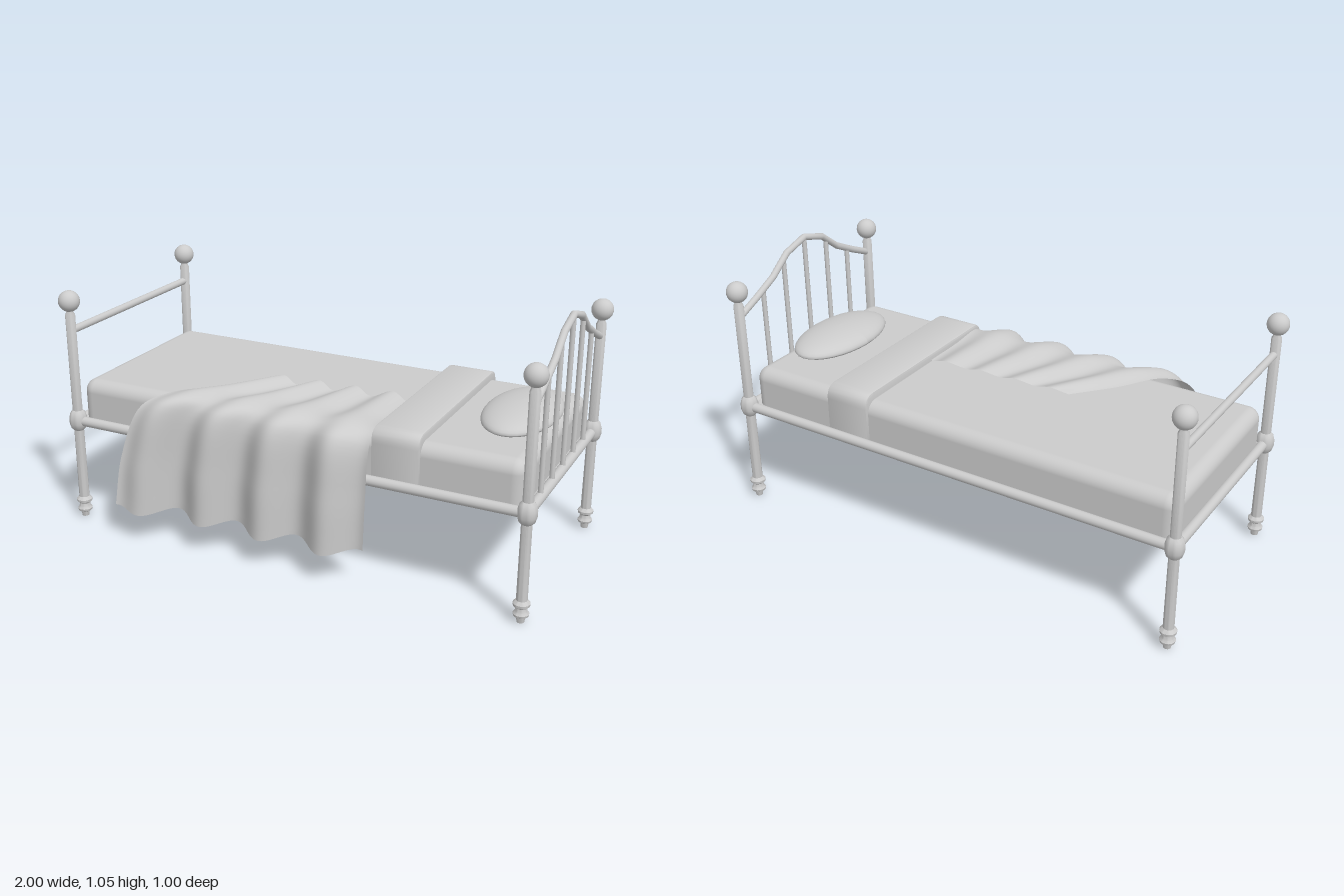
import * as THREE from 'three';
import { toCreasedNormals } from 'three/addons/utils/BufferGeometryUtils.js';
import { RoundedBoxGeometry } from 'three/addons/geometries/RoundedBoxGeometry.js';

const MID = -0.039;          // centre line of the bed in z
const PX = 0.957, PZ = 0.416; // post offsets from the centre line
const RAIL_Y = 0.43;

export function createModel() {
  const bed = new THREE.Group();
  bed.name = 'bed';
  const grey = new THREE.MeshStandardMaterial({ color: 0xcccccc });
  const cloth = new THREE.MeshStandardMaterial({ color: 0xcccccc, side: THREE.DoubleSide });

  const add = (name, geometry, x = 0, y = 0, z = 0, material = grey) => {
    const mesh = new THREE.Mesh(geometry, material);
    mesh.name = name;
    mesh.position.set(x, y, z);
    bed.add(mesh);
    return mesh;
  };
  // Round bar between two points
  const bar = (name, a, b, r) => {
    const from = new THREE.Vector3(...a), to = new THREE.Vector3(...b);
    const dir = to.clone().sub(from);
    const mesh = add(name, new THREE.CylinderGeometry(r, r, dir.length(), 16));
    mesh.position.copy(from).add(to).multiplyScalar(0.5);
    mesh.quaternion.setFromUnitVectors(new THREE.Vector3(0, 1, 0), dir.normalize());
  };

  // Turned posts: foot, two rings, knuckle at the rail, neck
  const profile = [
    [0, 0], [0.014, 0], [0.017, 0.02], [0.028, 0.027], [0.03, 0.036], [0.023, 0.045],
    [0.021, 0.06], [0.031, 0.068], [0.032, 0.078], [0.021, 0.09], [0.02, 0.39],
    [0.03, 0.4], [0.036, 0.42], [0.036, 0.443], [0.03, 0.465], [0.02, 0.476],
    [0.02, 0.88], [0.015, 0.89], [0.015, 0.91],
  ].map(([r, y]) => new THREE.Vector2(r, y));
  const post = toCreasedNormals(new THREE.LatheGeometry(profile, 24), 0.7);
  const ball = new THREE.SphereGeometry(0.043, 24, 16);
  for (const sx of [-1, 1]) for (const sz of [-1, 1]) {
    const end = sx > 0 ? 'head' : 'foot';
    add(end + 'Post', post, sx * PX, 0, MID + sz * PZ);
    add(end + 'PostBall', ball, sx * PX, 0.937, MID + sz * PZ);
  }

  // Frame rails and base panel
  for (const s of [-1, 1]) {
    bar('sideRail', [-PX, RAIL_Y, MID + s * PZ], [PX, RAIL_Y, MID + s * PZ], 0.02);
    bar('endRail', [s * PX, RAIL_Y, MID - PZ], [s * PX, RAIL_Y, MID + PZ], 0.02);
  }
  bar('footboardRail', [-PX, 0.815, MID - PZ], [-PX, 0.815, MID + PZ], 0.015);
  add('basePanel', new THREE.BoxGeometry(2 * PX, 0.02, 2 * PZ), 0, 0.428, MID);

  // Headboard arch and spindles
  const half = [[PZ, 0.828], [0.305, 0.877], [0.2, 0.93], [0.105, 1.003]];
  const arch = [...half, [0, 1.032], ...half.map(([z, y]) => [-z, y]).reverse()];
  const archCurve = new THREE.CatmullRomCurve3(
    arch.map(([z, y]) => new THREE.Vector3(PX, y, MID + z)));
  add('headboardArch', new THREE.TubeGeometry(archCurve, 8, 0.014, 12));
  for (const [dz, top] of [[-0.27, 0.893], [-0.135, 0.98], [0, 1.03], [0.135, 0.98], [0.27, 0.893]])
    bar('headboardSpindle', [PX, RAIL_Y, MID + dz], [PX, top, MID + dz], 0.01);

  // Mattress: rounded top, cut flat underneath
  const mattress = new RoundedBoxGeometry(1.88, 0.3, 0.79, 6, 0.05);
  const mp = mattress.attributes.position;
  for (let i = 0; i < mp.count; i++) mp.setY(i, Math.max(mp.getY(i), -0.02));
  add('mattress', mattress, -0.005, 0.45, MID);

  // Turned-back sheet: band with rounded shoulders over the mattress
  const w = 0.408, top = 0.632, r = 0.055;
  const band = new THREE.Shape();
  band.moveTo(-w, 0.43).lineTo(w, 0.43).lineTo(w, top - r);
  band.quadraticCurveTo(w, top, w - r, top).lineTo(-w + r, top);
  band.quadraticCurveTo(-w, top, -w, top - r);
  const sheet = new THREE.ExtrudeGeometry(band, {
    depth: 0.174, bevelSize: 0.008, bevelOffset: -0.008, bevelThickness: 0.008,
    bevelSegments: 2, curveSegments: 8,
  });
  sheet.rotateY(Math.PI / 2);
  add('foldedSheet', toCreasedNormals(sheet, 0.7), 0.363, 0, MID);

  // Pillow: flattened ellipsoid, fuller above its seam
  const pillow = new THREE.SphereGeometry(1, 32, 20);
  const pp = pillow.attributes.position;
  for (let i = 0; i < pp.count; i++) {
    const y = pp.getY(i);
    pp.setXYZ(i, pp.getX(i) * 0.142, y * (y > 0 ? 0.053 : 0.033), pp.getZ(i) * 0.25);
  }
  pillow.computeVertexNormals();
  add('pillow', pillow, 0.79, 0.627, -0.045);

  // Draped blanket: folds run across the top and down the side
  const NU = 96, NV = 32, verts = [], index = [];
  for (let i = 0; i <= NU; i++) {
    const u = i / NU;
    const wave = Math.cos((u - 0.11) * 8 * Math.PI);
    const flare = (1 - u) ** 10;
    const at = (xl, xr, y, z) => new THREE.Vector3(xl + (xr - xl) * u, y, z);
    const path = new THREE.CatmullRomCurve3([
      at(-0.27, 0.355, 0.617 + 0.012 * wave, 0.02 - 0.035 * u - 0.012 * wave),
      at(-0.4, 0.355, 0.617 + 0.012 * wave, 0.18),
      at(-0.53, 0.355, 0.619 + 0.01 * wave, 0.34),
      at(-0.615, 0.357, 0.575 + 0.012 * wave, 0.41 + 0.025 * wave + 0.03 * flare),
      at(-0.685, 0.352, 0.36, 0.436 + 0.034 * wave + 0.06 * flare),
      at(-0.71, 0.345, 0.14 - 0.012 * wave, 0.438 + 0.035 * wave + 0.085 * flare),
    ]);
    for (let j = 0; j <= NV; j++) {
      verts.push(...path.getPoint(j / NV).toArray());
      if (i < NU && j < NV) {
        const a = i * (NV + 1) + j, b = a + NV + 1;
        index.push(a, a + 1, b, b, a + 1, b + 1);
      }
    }
  }
  const blanket = new THREE.BufferGeometry();
  blanket.setAttribute('position', new THREE.Float32BufferAttribute(verts, 3));
  blanket.setIndex(index);
  blanket.computeVertexNormals();
  add('blanket', blanket, 0, 0, 0, cloth);

  return bed;
}
